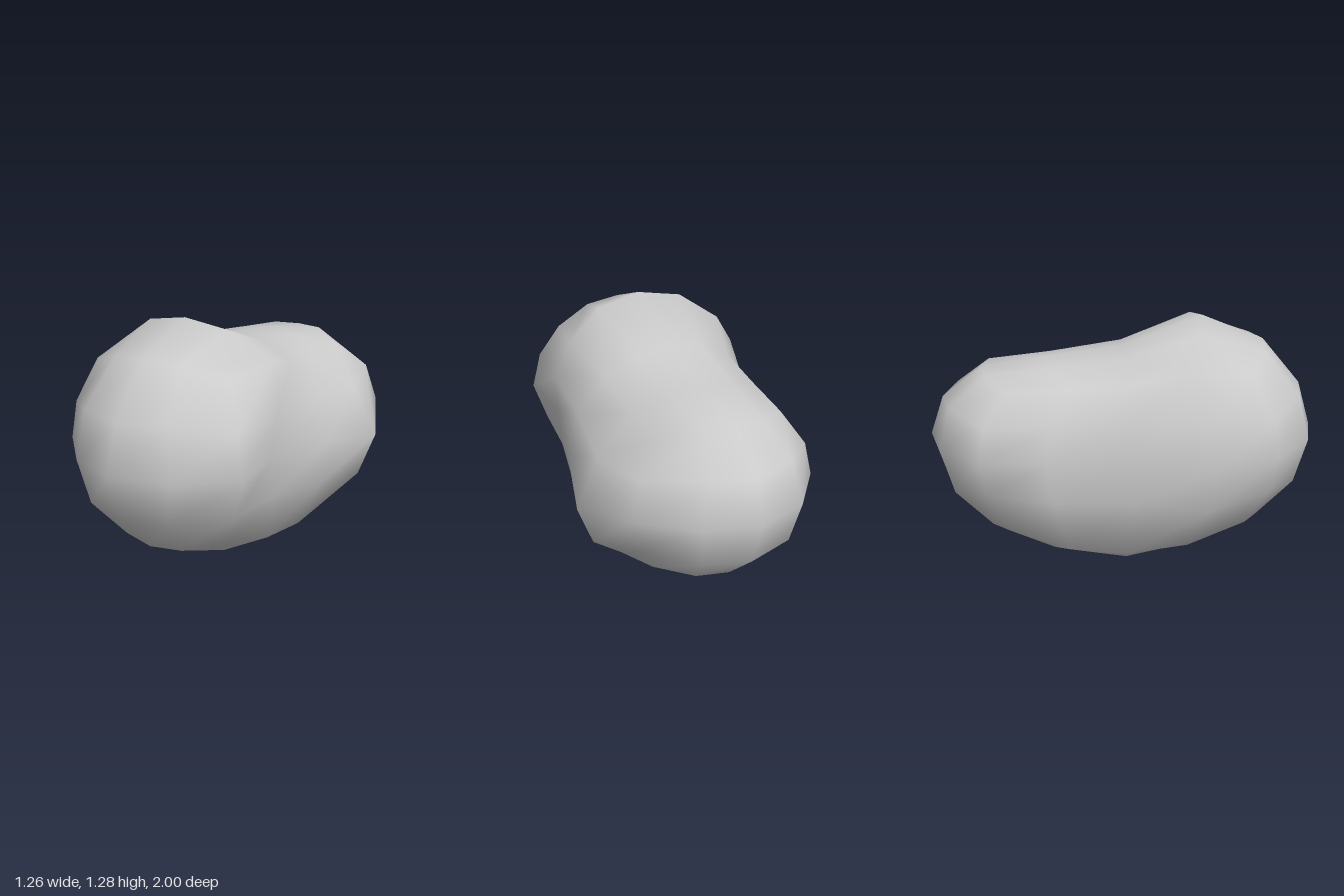
import * as THREE from 'three';
import { mergeVertices } from 'three/addons/utils/BufferGeometryUtils.js';

// Radii along the length, from back (-z) to front (+z), for each direction around it
const STATIONS = [-1, -0.92, -0.71, -0.38, 0, 0.38, 0.71, 0.92, 1];
const RADII = {
  left: [0.68, 0.68, 0.72, 0.714, 0.57, 0.53, 0.757, 0.78, 0.75],
  right: [0.65, 0.65, 0.6, 0.498, 0.47, 0.65, 0.665, 0.65, 0.65],
  top: [0.52, 0.52, 0.5, 0.43, 0.45, 0.65, 0.665, 0.6, 0.6],
  bottom: [0.65, 0.65, 0.665, 0.655, 0.68, 0.65, 0.665, 0.65, 0.65],
  topleft: [0.6, 0.6, 0.58, 0.47, 0.5, 0.68, 0.69, 0.66, 0.65],
  topright: [0.6, 0.6, 0.57, 0.47, 0.48, 0.68, 0.67, 0.64, 0.65],
  bottomleft: [0.66, 0.66, 0.66, 0.66, 0.66, 0.66, 0.66, 0.66, 0.66],
  bottomright: [0.66, 0.66, 0.66, 0.66, 0.66, 0.66, 0.66, 0.66, 0.66],
};

function sample(name, z) {
  const values = RADII[name];
  let i = 0;
  while (i < STATIONS.length - 2 && z > STATIONS[i + 1]) i++;
  const t = (z - STATIONS[i]) / (STATIONS[i + 1] - STATIONS[i]);
  return THREE.MathUtils.lerp(values[i], values[i + 1], t);
}

// Rounds a unit-sphere point into the dented stone
function shape({ x, y, z }) {
  const side = x > 0 ? 'left' : 'right';
  const level = y > 0 ? 'top' : 'bottom';
  const angle = Math.atan2(Math.abs(y), Math.abs(x));
  const toDiagonal = 1 - Math.abs(angle / (Math.PI / 4) - 1);
  const axis = angle > Math.PI / 4 ? level : side;
  const k = THREE.MathUtils.lerp(sample(axis, z), sample(level + side, z), toDiagonal ** 1.5);

  // The underside is narrower and deeper
  const under = y < 0 ? 1 : 0;
  const narrow = 1 - 0.2 * under * y * y;
  const deepen = 1 + 0.48 * under * x * x * y * y;

  // The bulge at the rear left sags downward
  const sag = x > 0 ? 0.16 * x ** 4 * Math.max(0, 1 - Math.abs(z + 0.35) / 0.5) : 0;

  return [
    -0.03 + x * k * narrow,
    0.68 + y * k * deepen - sag,
    z + 0.02 * Math.sin(Math.PI * z),
  ];
}

function stoneGeometry() {
  // Evenly divided cube, rounded to a sphere
  let geometry = new THREE.BoxGeometry(2, 2, 2, 4, 4, 4);
  geometry.deleteAttribute('uv');
  geometry.deleteAttribute('normal');
  geometry = mergeVertices(geometry);
  const pos = geometry.attributes.position;
  const p = new THREE.Vector3();
  for (let i = 0; i < pos.count; i++) {
    p.fromBufferAttribute(pos, i);
    p.set(...p.toArray().map((c) => Math.tan((c * Math.PI) / 4))).normalize();
    pos.setXYZ(i, ...shape(p));
  }
  geometry.computeVertexNormals();
  return geometry;
}

export function createModel() {
  const group = new THREE.Group();
  group.name = 'stone';
  const stone = new THREE.Mesh(stoneGeometry(), new THREE.MeshStandardMaterial({ color: 0xcccccc }));
  stone.name = 'stoneBody';
  group.add(stone);
  return group;
}
